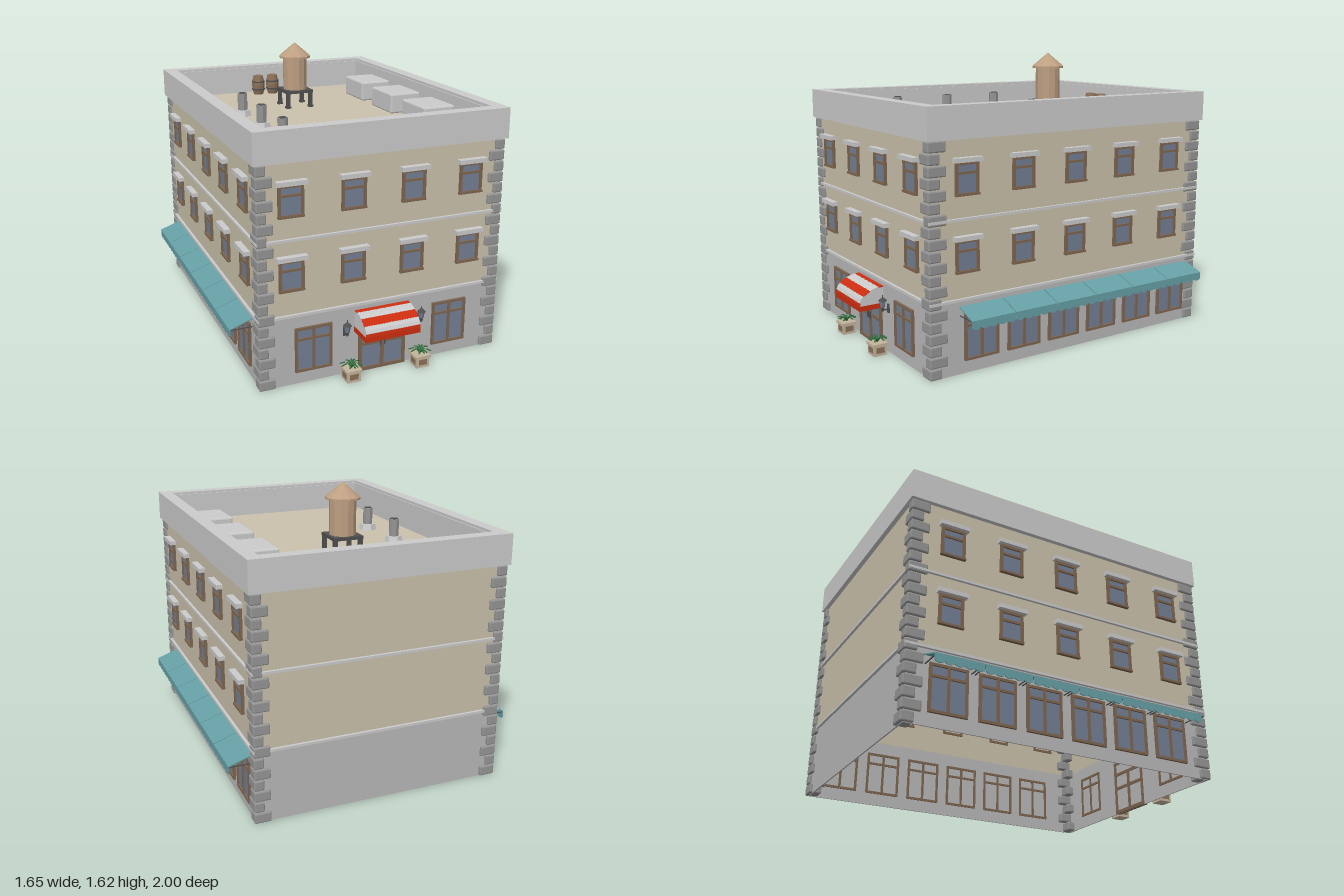
import * as THREE from 'three';
import { RoundedBoxGeometry } from 'three/addons/geometries/RoundedBoxGeometry.js';

const mat = (color) => new THREE.MeshStandardMaterial({ color, flatShading: true, side: THREE.DoubleSide });
const M = {
  grey: mat(0xcccccc), base: mat(0xb8b8b8), stone: mat(0x959595), tan: mat(0xcac1ac),
  frame: mat(0x7e6650), glass: mat(0x737f93), teal: mat(0x66a0a6), red: mat(0xcc2e10),
  wood: mat(0xbe9f82), barrel: mat(0x8a7058), iron: mat(0x505050), leaf: mat(0x2f6b3a), pot: mat(0xc4b49c),
};
const WX = 0.7, ZB = -0.975, ZF = 0.85, ROOF = 1.22; // wall faces and roof level

function add(parent, name, geo, material, x = 0, y = 0, z = 0) {
  const m = new THREE.Mesh(geo, material);
  m.name = name;
  m.position.set(x, y, z);
  parent.add(m);
  return m;
}
const box = (p, name, material, w, h, d, x, y, z) => add(p, name, new THREE.BoxGeometry(w, h, d), material, x, y, z);
const cyl = (p, name, material, rt, rb, h, n, x, y, z) => add(p, name, new THREE.CylinderGeometry(rt, rb, h, n), material, x, y, z);
const rect = (C, x0, y0, x1, y1) => new C([[x0, y0], [x1, y0], [x1, y1], [x0, y1]].map(([x, y]) => new THREE.Vector2(x, y)));
const extrude = (shape, depth) => new THREE.ExtrudeGeometry(shape, { depth, bevelEnabled: false, curveSegments: 6 });

// Rectangular ring around the building; out = distance beyond the walls
function ring(parent, name, material, out, thick, y0, y1) {
  const s = rect(THREE.Shape, -WX - out, -ZF - out, WX + out, -ZB + out);
  const t = out - thick;
  s.holes.push(rect(THREE.Path, -WX - t, -ZF - t, WX + t, -ZB + t));
  return add(parent, name, extrude(s, y1 - y0).rotateX(-Math.PI / 2), material, 0, y0, 0);
}

// Frame with rectangular openings and a glass sheet; panes are [x0, y0, x1, y1]
function glazed(name, w, h, panes) {
  const g = new THREE.Group();
  g.name = name;
  const s = rect(THREE.Shape, -w / 2, 0, w / 2, h);
  panes.forEach((p) => s.holes.push(rect(THREE.Path, ...p)));
  add(g, 'frame', extrude(s, 0.028), M.frame, 0, 0, -0.014);
  box(g, 'glass', M.glass, w - 0.01, h - 0.01, 0.004, 0, h / 2, 0.003);
  return g;
}

function sashWindow() {
  const g = glazed('sashWindow', 0.138, 0.172, [[-0.054, 0.015, 0.054, 0.11], [-0.054, 0.123, 0.054, 0.157]]);
  box(g, 'lintel', M.grey, 0.165, 0.024, 0.05, 0, 0.184, 0.01);
  box(g, 'sill', M.frame, 0.142, 0.012, 0.034, 0, 0.006, 0.002);
  return g;
}

function shopWindow() {
  const panes = [];
  for (const s of [-1, 1]) {
    const [a, b] = s < 0 ? [-0.091, -0.007] : [0.007, 0.091];
    panes.push([a, 0.014, b, 0.182], [a, 0.195, b, 0.241]);
  }
  return glazed('shopWindow', 0.21, 0.255, panes);
}

// Sloping canopy with a scalloped valance and end rods
function sideAwning() {
  const g = new THREE.Group();
  g.name = 'sideAwning';
  const w = 0.264, slope = Math.atan2(0.045, 0.13);
  box(g, 'canopy', M.teal, w, 0.006, 0.14, 0, 0.343, 0.06).rotation.x = slope;
  const s = new THREE.Shape();
  s.moveTo(-w / 2, 0.322);
  s.lineTo(-w / 2, 0.285);
  const n = 5, step = w / n;
  for (let i = 0; i < n; i++) {
    const x = -w / 2 + i * step;
    s.quadraticCurveTo(x + step / 2, 0.264, x + step, 0.285);
  }
  s.lineTo(w / 2, 0.322);
  add(g, 'valance', extrude(s, 0.005), M.teal, 0, 0, 0.122);
  for (const x of [-0.125, 0.125]) box(g, 'rod', M.iron, 0.005, 0.005, 0.125, x, 0.315, 0.062);
  return g;
}

// Striped quarter-round canopy above the door
function doorAwning() {
  const g = new THREE.Group();
  g.name = 'doorAwning';
  const W = 0.32, pt = (i) => {
    const a = (i / 8) * Math.PI / 2;
    return [0.145 * Math.sin(a), 0.27 + 0.093 * Math.cos(a)];
  };
  const strip = (a, b, material) => {
    const dz = b[0] - a[0], dy = b[1] - a[1];
    const m = box(g, 'stripe', material, W, 0.005, Math.hypot(dz, dy) + 0.002, 0, (a[1] + b[1]) / 2, (a[0] + b[0]) / 2);
    m.rotation.x = Math.atan2(-dy, dz);
  };
  for (let i = 0; i < 8; i++) strip(pt(i), pt(i + 1), [M.red, M.grey, M.grey, M.red, M.red, M.grey, M.grey, M.red][i]);
  box(g, 'valance', M.red, W, 0.028, 0.005, 0, 0.256, 0.145);
  const end = new THREE.Shape([[0, 0.27], ...Array.from({ length: 9 }, (_, i) => pt(i))].map(([z, y]) => new THREE.Vector2(-z, y)));
  for (const s of [-1, 1]) {
    add(g, 'endPanel', new THREE.ShapeGeometry(end).rotateY(Math.PI / 2), M.grey, s * W / 2, 0, 0);
    box(g, 'endValance', M.red, 0.005, 0.028, 0.145, s * W / 2, 0.256, 0.0725);
  }
  return g;
}

function lantern() {
  const g = new THREE.Group();
  g.name = 'lantern';
  box(g, 'wallPlate', M.iron, 0.018, 0.05, 0.008, 0, 0.255, 0.004);
  box(g, 'arm', M.iron, 0.007, 0.007, 0.04, 0, 0.25, 0.02);
  cyl(g, 'foot', M.iron, 0.012, 0.005, 0.025, 6, 0, 0.255, 0.038);
  cyl(g, 'lamp', M.glass, 0.02, 0.012, 0.04, 6, 0, 0.285, 0.038);
  cyl(g, 'cap', M.iron, 0.004, 0.026, 0.02, 6, 0, 0.313, 0.038);
  cyl(g, 'finial', M.iron, 0.002, 0.004, 0.015, 6, 0, 0.328, 0.038);
  return g;
}

function planter() {
  const g = new THREE.Group();
  g.name = 'planter';
  box(g, 'pot', M.pot, 0.078, 0.06, 0.078, 0, 0.03, 0);
  box(g, 'rim', M.pot, 0.09, 0.014, 0.09, 0, 0.062, 0);
  for (let i = 0; i < 4; i++) {
    const side = new THREE.Group();
    side.rotation.y = i * Math.PI / 2;
    box(side, 'panel', M.barrel, 0.05, 0.032, 0.003, 0, 0.031, 0.039);
    g.add(side);
  }
  for (let i = 0; i < 10; i++) {
    const leaf = new THREE.Group();
    leaf.rotation.y = i * 2.4;
    const r = 0.03 + 0.004 * (i % 4), y = 0.07;
    box(leaf, 'leafBase', M.leaf, 0.01, 0.003, 0.038, 0, y + 0.014, 0.012).rotation.x = -0.85;
    box(leaf, 'leafTip', M.leaf, 0.008, 0.003, 0.03, 0, y + 0.025, r + 0.006).rotation.x = 0.3;
    g.add(leaf);
  }
  return g;
}

export function createModel() {
  const model = new THREE.Group();

  // Shell, open underneath
  ring(model, 'groundFloorWalls', M.base, 0, 0.008, 0, 0.4);
  ring(model, 'upperWalls', M.tan, 0, 0.008, 0.4, 1.23);
  for (const y of [0.395, 0.815]) ring(model, 'stringCourse', M.grey, 0.015, 0.02, y, y + 0.014);
  ring(model, 'parapet', M.grey, 0.025, 0.075, 1.23, 1.4);
  ring(model, 'parapetInnerLip', M.grey, -0.045, 0.012, ROOF, 1.385);
  box(model, 'roof', M.tan, 1.38, 0.01, 1.8, 0, ROOF - 0.005, (ZB + ZF) / 2);

  // Corner stones, alternating long and short
  const H = 1.23 / 20;
  for (const sx of [-1, 1]) for (const [z, sz] of [[ZF, 1], [ZB, -1]]) for (let i = 0; i < 20; i++) {
    const [w, d] = i % 2 ? [0.055, 0.105] : [0.09, 0.07];
    add(model, 'cornerStone', new RoundedBoxGeometry(w, H - 0.005, d, 1, 0.007), M.stone,
      sx * (WX + 0.012 - w / 2), (i + 0.5) * H, z + sz * (0.016 - d / 2));
  }

  // Put a part on a wall: u runs along x on the front and z on the sides
  const put = (part, wall, u, y = 0) => {
    if (wall === 'front') part.position.set(u, y, ZF);
    else {
      const s = wall === 'left' ? 1 : -1;
      part.position.set(s * WX, y, u);
      part.rotation.y = s * Math.PI / 2;
    }
    model.add(part);
  };
  for (const y of [0.542, 0.942]) {
    for (const x of [-0.525, -0.18, 0.165, 0.51]) put(sashWindow(), 'front', x, y);
    for (const wall of ['left', 'right']) for (let i = 0; i < 5; i++) put(sashWindow(), wall, 0.64 - i * 0.3475, y);
  }
  for (let i = 0; i < 6; i++) for (const [wall, z0] of [['left', 0.555], ['right', 0.6]]) {
    put(shopWindow(), wall, z0 - i * 0.27, 0.07);
    put(sideAwning(), wall, z0 - i * 0.27);
  }

  // Shop front
  for (const x of [-0.405, 0.41]) put(shopWindow(), 'front', x, 0.07);
  const door = glazed('doubleDoor', 0.28, 0.33, [
    [-0.122, 0.02, -0.01, 0.15], [0.01, 0.02, 0.122, 0.15],
    [-0.122, 0.168, -0.01, 0.24], [0.01, 0.168, 0.122, 0.24], [-0.122, 0.258, 0.122, 0.314]]);
  for (const x of [-0.012, 0.012]) box(door, 'handle', M.iron, 0.005, 0.04, 0.012, x, 0.16, 0.018);
  put(door, 'front', -0.003);
  put(doorAwning(), 'front', -0.005);
  for (const x of [-0.225, 0.22]) put(lantern(), 'front', x);
  for (const x of [-0.213, 0.202]) {
    const p = planter();
    p.position.set(x, 0, 0.918);
    model.add(p);
  }

  // Water tank on a stand
  const tank = new THREE.Group();
  tank.name = 'waterTank';
  tank.position.set(-0.02, ROOF, -0.4);
  for (const x of [-0.075, 0.075]) for (const z of [-0.075, 0.075]) {
    box(tank, 'leg', M.iron, 0.022, 0.1, 0.022, x, 0.05, z);
    box(tank, 'foot', M.iron, 0.03, 0.012, 0.03, x, 0.006, z);
  }
  box(tank, 'platform', M.iron, 0.176, 0.018, 0.176, 0, 0.1, 0);
  cyl(tank, 'barrel', M.wood, 0.075, 0.075, 0.205, 12, 0, 0.21, 0);
  cyl(tank, 'lip', M.wood, 0.097, 0.097, 0.012, 12, 0, 0.312, 0);
  cyl(tank, 'coneRoof', M.wood, 0, 0.097, 0.082, 12, 0, 0.359, 0);
  model.add(tank);

  // Other roof equipment
  for (const z of [-0.255, 0.1, 0.45]) {
    cyl(model, 'ventBase', M.grey, 0.045, 0.055, 0.035, 6, -0.415, ROOF + 0.0175, z);
    cyl(model, 'ventPipe', M.stone, 0.03, 0.03, 0.12, 8, -0.415, ROOF + 0.075, z);
    cyl(model, 'ventOpening', M.iron, 0.022, 0.022, 0.004, 8, -0.415, ROOF + 0.136, z);
  }
  const staves = [[0, 0], [0.032, 0], [0.041, 0.035], [0.043, 0.06], [0.041, 0.085], [0.032, 0.125], [0, 0.12]];
  for (const x of [-0.12, -0.02]) {
    add(model, 'cask', new THREE.LatheGeometry(staves.map((p) => new THREE.Vector2(...p)), 12), M.barrel, x, ROOF, -0.835);
    for (const y of [0.035, 0.085]) cyl(model, 'caskHoop', M.iron, 0.0435, 0.0435, 0.008, 12, x, ROOF + y, -0.835);
  }
  for (const z of [-0.485, -0.073, 0.337]) {
    add(model, 'roofUnit', new RoundedBoxGeometry(0.2, 0.12, 0.27, 1, 0.01), M.grey, 0.528, ROOF + 0.06, z);
  }
  return model;
}
